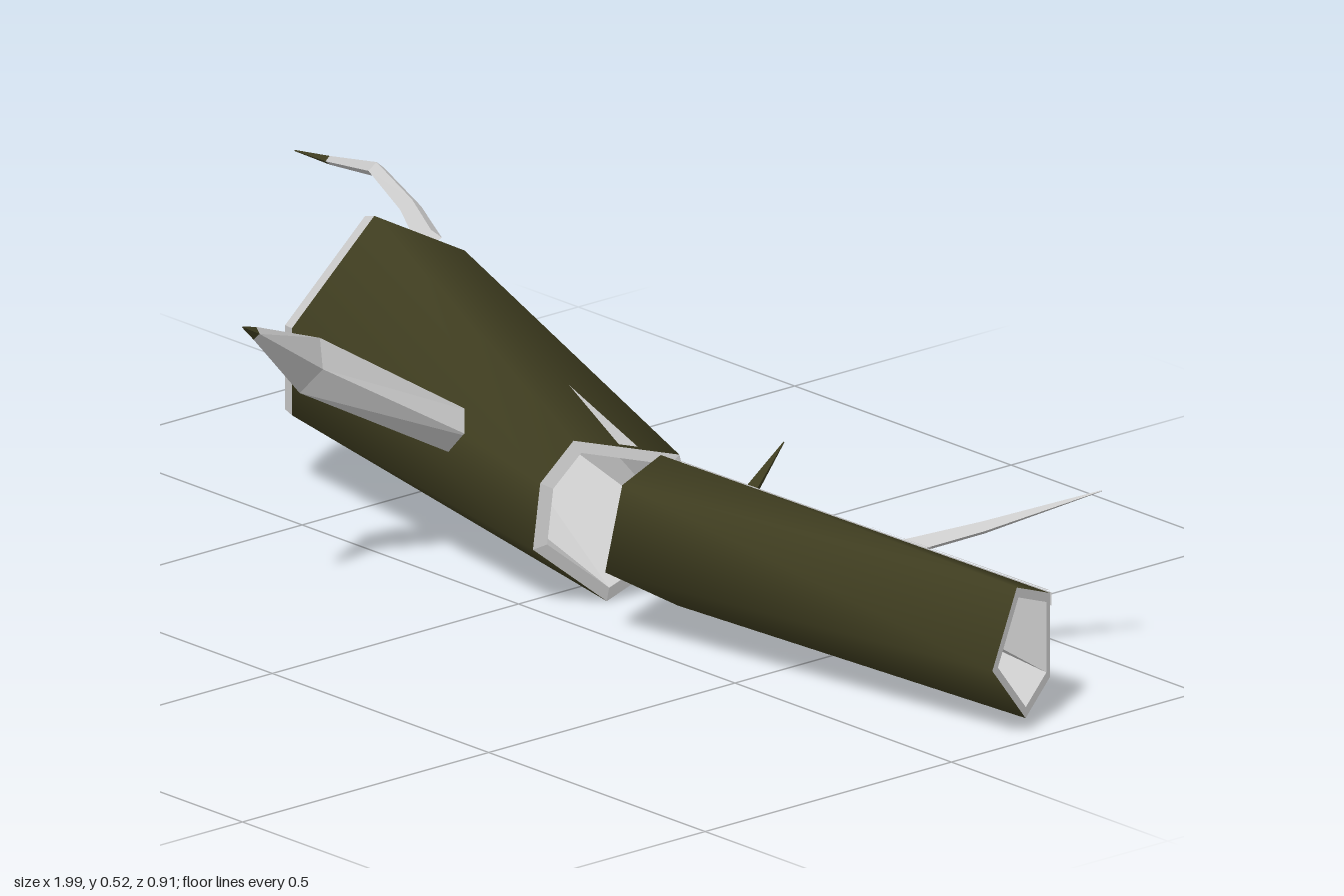
import * as THREE from 'three';

const olive = new THREE.MeshStandardMaterial({ name: 'olive hide', color: 0x3f3d20, side: THREE.DoubleSide });
const bone = new THREE.MeshStandardMaterial({ name: 'pale bone', color: 0xcacaca, side: THREE.DoubleSide });
const V = (x, y, z) => new THREE.Vector3(x, y, z);

// Skin a list of closed rings (arrays of Vector3)
function loft(name, rings, material, flat) {
  const n = rings[0].length, index = [];
  for (let r = 0; r + 1 < rings.length; r++) {
    for (let i = 0; i < n; i++) {
      const a = r * n + i, b = r * n + (i + 1) % n;
      index.push(a, a + n, b, b, a + n, b + n);
    }
  }
  let geo = new THREE.BufferGeometry().setFromPoints(rings.flat());
  geo.setIndex(index);
  if (flat) geo = geo.toNonIndexed();
  geo.computeVertexNormals();
  const mesh = new THREE.Mesh(geo, material);
  mesh.name = name;
  return mesh;
}

// End outline given as [z, y] points on a slanted plane x = x0 + slope * z
const ring = (pts, x0, slope) => pts.map(([z, y]) => V(x0 + slope * z, y, z));

// Shrink a ring towards its centre and slide it along x
function inset(pts, scale, dx) {
  const c = pts.reduce((s, p) => s.add(p), V(0, 0, 0)).divideScalar(pts.length);
  return pts.map(p => p.clone().sub(c).multiplyScalar(scale).add(c).add(V(dx, 0, 0)));
}

// Hollow sleeve: olive skin, pale rims and pale lining
function sleeve(name, left, right, lipL, lipR) {
  const g = new THREE.Group();
  g.name = name;
  const inL = inset(left, 0.86, -lipL), inR = inset(right, 0.84, lipR);
  g.add(loft('outerSkin', [left, right], olive, false));
  g.add(loft('leftRim', [inset(left, 0.97, -lipL), left], bone, true));
  g.add(loft('leftLip', [inL, inset(left, 0.97, -lipL)], bone, true));
  g.add(loft('rightRim', [right, inR], bone, true));
  g.add(loft('lining', [inR, inL], bone, true));
  return g;
}

// Thin triangular tear lying on one side of a sleeve; corners are [across, along]
function tear(left, right, side, corners) {
  const j = (side + 1) % left.length;
  const pts = corners.map(([u, t]) =>
    left[side].clone().lerp(left[j], u).lerp(right[side].clone().lerp(right[j], u), t));
  const nrm = pts[1].clone().sub(pts[0]).cross(pts[2].clone().sub(pts[0])).normalize();
  const mid = inset(left, 0, 0)[0].lerp(inset(right, 0, 0)[0], 0.5);
  if (nrm.dot(pts[0].clone().sub(mid)) < 0) nrm.negate();
  const geo = new THREE.BufferGeometry().setFromPoints(pts.map(p => p.addScaledVector(nrm, 0.004)));
  geo.computeVertexNormals();
  const mesh = new THREE.Mesh(geo, bone);
  mesh.name = 'tear';
  return mesh;
}

// Bent four-sided spike; stations are [x, y, z, halfWidth, halfHeight],
// olive from station tipFrom onwards
function spike(name, stations, tipFrom) {
  const g = new THREE.Group();
  g.name = name;
  const pos = stations.map(s => V(s[0], s[1], s[2]));
  const rings = stations.map((s, i) => {
    const dir = pos[Math.min(i + 1, pos.length - 1)].clone().sub(pos[Math.max(i - 1, 0)]).normalize();
    const across = V(0, 1, 0).cross(dir).normalize();
    const up = dir.clone().cross(across);
    return [[1, 0], [0, 1], [-1, 0], [0, -1]].map(([a, b]) =>
      pos[i].clone().addScaledVector(across, a * s[3]).addScaledVector(up, b * s[4]));
  });
  if (tipFrom > 0) g.add(loft('shaft', rings.slice(0, tipFrom + 1), bone, true));
  if (tipFrom < rings.length - 1) g.add(loft('darkTip', rings.slice(tipFrom), olive, true));
  return g;
}

export function createModel() {
  const model = new THREE.Group();
  model.name = 'spikedSleeves';

  // Wide upper sleeve
  const aL = ring([[-0.24, 0.42], [-0.41, 0.33], [-0.42, 0.145], [-0.31, 0.05], [-0.085, 0.13], [-0.085, 0.27]], -0.628, -0.09);
  const aR = ring([[-0.055, 0.27], [-0.23, 0.22], [-0.265, 0.08], [-0.11, 0.003], [0.012, 0.105], [0, 0.21]], 0.05, -0.26);
  const upper = sleeve('upperSleeve', aL, aR, 0.022, 0.006);
  upper.add(tear(aL, aR, 0, [[0.5, 0.72], [0.42, 1], [0.6, 1]]));
  upper.add(tear(aL, aR, 1, [[0.6, 0.78], [0.4, 1], [0.6, 1]]));
  upper.add(tear(aL, aR, 2, [[0.2, 0.8], [0.12, 1], [0.3, 1]]));
  model.add(upper);

  // Narrow lower sleeve
  const bL = ring([[-0.12, 0.265], [-0.232, 0.15], [-0.16, 0.012], [0.01, 0.11], [-0.03, 0.24]], 0.21, 0.15);
  const bR = ring([[-0.25, 0.205], [-0.25, 0.07], [-0.18, 0.025], [-0.085, 0.13], [-0.155, 0.243]], 1.026, 0.33);
  const lower = sleeve('lowerSleeve', bL, bR, 0, 0);
  lower.add(tear(bL, bR, 0, [[0, 0], [0, 1], [0.16, 1]]));
  lower.add(tear(bL, bR, 4, [[1, 0.5], [0.85, 1], [1, 1]]));
  model.add(lower);

  // Large front spike
  model.add(spike('frontSpike', [
    [-0.19, 0.22, -0.05, 0.035, 0.035], [-0.215, 0.385, 0.235, 0.027, 0.045],
    [-0.137, 0.497, 0.415, 0.008, 0.01], [-0.12, 0.52, 0.455, 0.001, 0.001]], 2));

  // Hooked spikes at the wide end
  model.add(spike('upperHook', [
    [-0.6, 0.36, -0.345, 0.022, 0.02], [-0.665, 0.39, -0.365, 0.018, 0.016], [-0.77, 0.42, -0.388, 0.014, 0.012],
    [-0.9, 0.397, -0.408, 0.008, 0.007], [-0.995, 0.386, -0.42, 0.001, 0.001]], 3));
  model.add(spike('lowerHook', [
    [-0.61, 0.07, -0.29, 0.02, 0.012], [-0.69, 0.063, -0.278, 0.014, 0.009],
    [-0.82, 0.048, -0.34, 0.001, 0.001]], 0));

  // Back spikes on the narrow sleeve
  model.add(spike('backSpike', [
    [0.635, 0.205, -0.205, 0.03, 0.014], [0.72, 0.24, -0.31, 0.019, 0.01],
    [0.83, 0.295, -0.455, 0.001, 0.001]], 2));
  model.add(spike('smallThorn', [
    [0.355, 0.235, -0.155, 0.018, 0.012], [0.38, 0.315, -0.205, 0.001, 0.001]], 0));

  return model;
}
